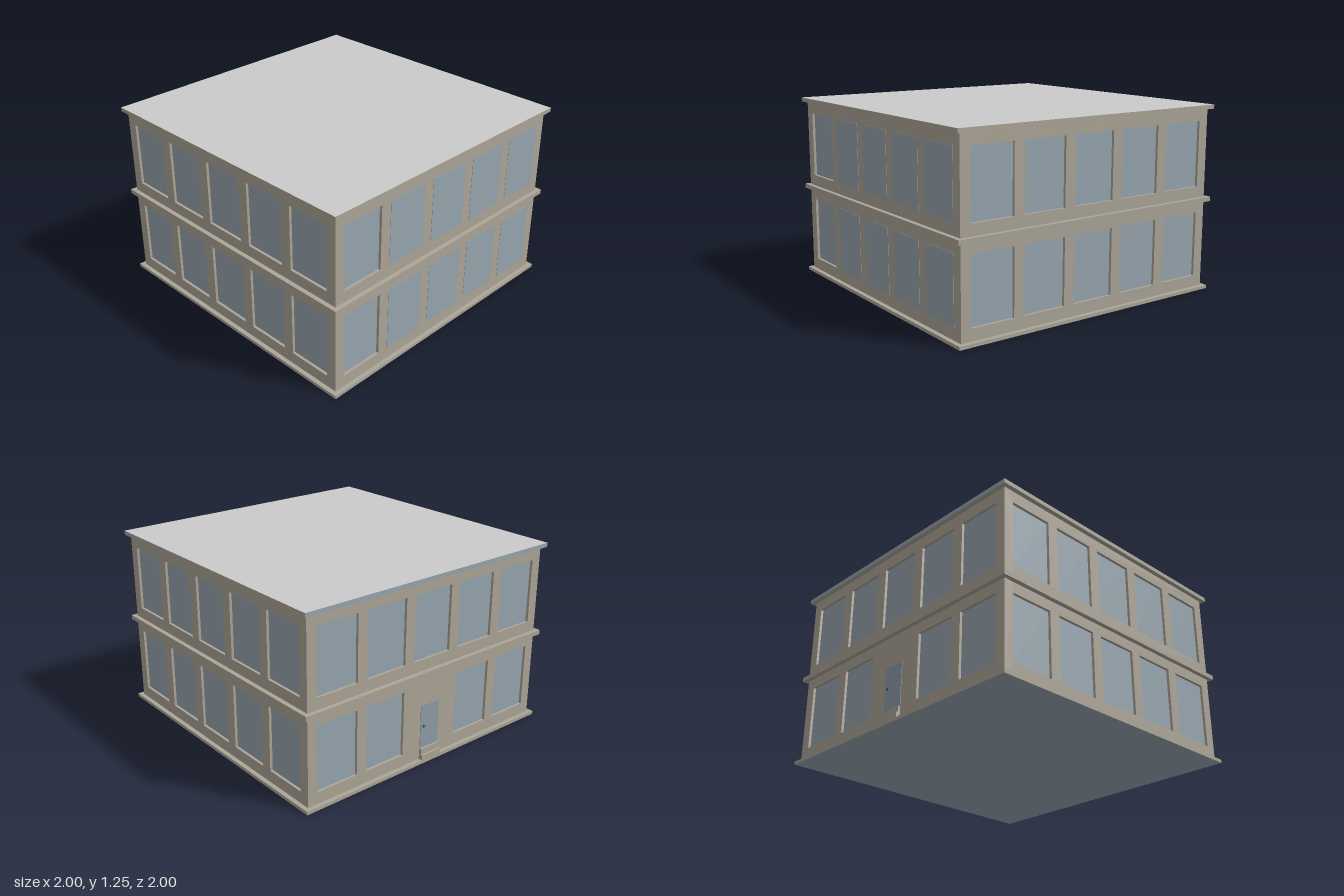
import * as THREE from 'three';

const mat = (name, color, side = THREE.FrontSide) => {
  const m = new THREE.MeshStandardMaterial({ color, side });
  m.name = name;
  return m;
};

export function createModel() {
  const wallMat = mat('stone', 0xaca598);
  const glassMat = mat('glass', 0x98a6b0);
  const roofMat = mat('roofGrey', 0xcacaca);
  const doorMat = mat('doorBlue', 0x8f9ca8);
  const knobMat = mat('knobDark', 0x4a5866);

  const WALL = 0.97, DEPTH = 0.02, TOP = 1.23;
  const columns = [-0.75, -0.375, 0, 0.375, 0.75];
  const floors = [0.1, 0.71];
  const WIN_W = 0.3, WIN_H = 0.435;

  const model = new THREE.Group();
  model.name = 'building';

  const box = (parent, name, material, w, h, d, x, y, z) => {
    const mesh = new THREE.Mesh(new THREE.BoxGeometry(w, h, d), material);
    mesh.name = name;
    mesh.position.set(x, y, z);
    parent.add(mesh);
    return mesh;
  };

  // One facade, built facing +z and then turned into place
  const facade = (name, angle, { skip = () => false, flush = () => false } = {}) => {
    const side = new THREE.Group();
    side.name = name;
    side.rotation.y = angle;
    const outline = new THREE.Shape([
      new THREE.Vector2(-WALL, 0.01), new THREE.Vector2(WALL, 0.01),
      new THREE.Vector2(WALL, TOP), new THREE.Vector2(-WALL, TOP),
    ]);
    floors.forEach((y, row) => columns.forEach((x, col) => {
      if (skip(row, col)) return;
      const l = x - WIN_W / 2, r = x + WIN_W / 2, t = y + WIN_H;
      if (!flush(row, col)) {
        outline.holes.push(new THREE.Path([
          new THREE.Vector2(l, y), new THREE.Vector2(l, t),
          new THREE.Vector2(r, t), new THREE.Vector2(r, y),
        ]));
      }
      const z = flush(row, col) ? WALL : WALL - DEPTH;
      box(side, 'windowPane', glassMat, WIN_W, WIN_H, 0.004, x, y + WIN_H / 2, z);
    }));
    const wall = new THREE.Mesh(
      new THREE.ExtrudeGeometry(outline, { depth: DEPTH, bevelEnabled: false }), wallMat);
    wall.name = 'wall';
    wall.position.z = WALL - DEPTH;
    side.add(wall);
    model.add(side);
    return side;
  };

  facade('frontFacade', 0, { flush: (row, col) => col > 0 });
  facade('rightFacade', Math.PI / 2);
  facade('leftFacade', -Math.PI / 2);
  const back = facade('backFacade', Math.PI, { skip: (row, col) => row === 0 && col === 2 });

  // Entrance: door, knob and two steps
  box(back, 'door', doorMat, 0.155, 0.3, 0.006, 0, 0.245, WALL);
  const knob = new THREE.Mesh(new THREE.SphereGeometry(0.011, 16, 10), knobMat);
  knob.name = 'doorKnob';
  knob.position.set(-0.05, 0.25, WALL + 0.003);
  back.add(knob);
  box(back, 'upperStep', wallMat, 0.16, 0.08, 0.018, 0, 0.057, WALL + 0.008);
  box(back, 'lowerStep', wallMat, 0.16, 0.04, 0.03, 0, 0.037, WALL + 0.015);

  // Projecting slabs; face order is +x, -x, +y, -y, +z, -z
  const w = wallMat;
  box(model, 'baseSlab', [w, w, w, glassMat, w, w], 2, 0.022, 2, 0, 0.011, 0);
  box(model, 'middleSlab', w, 2, 0.03, 2, 0, 0.62, 0);
  box(model, 'roofSlab', [w, w, roofMat, w, w, glassMat], 2, 0.028, 2, 0, 1.236, 0);

  return model;
}
